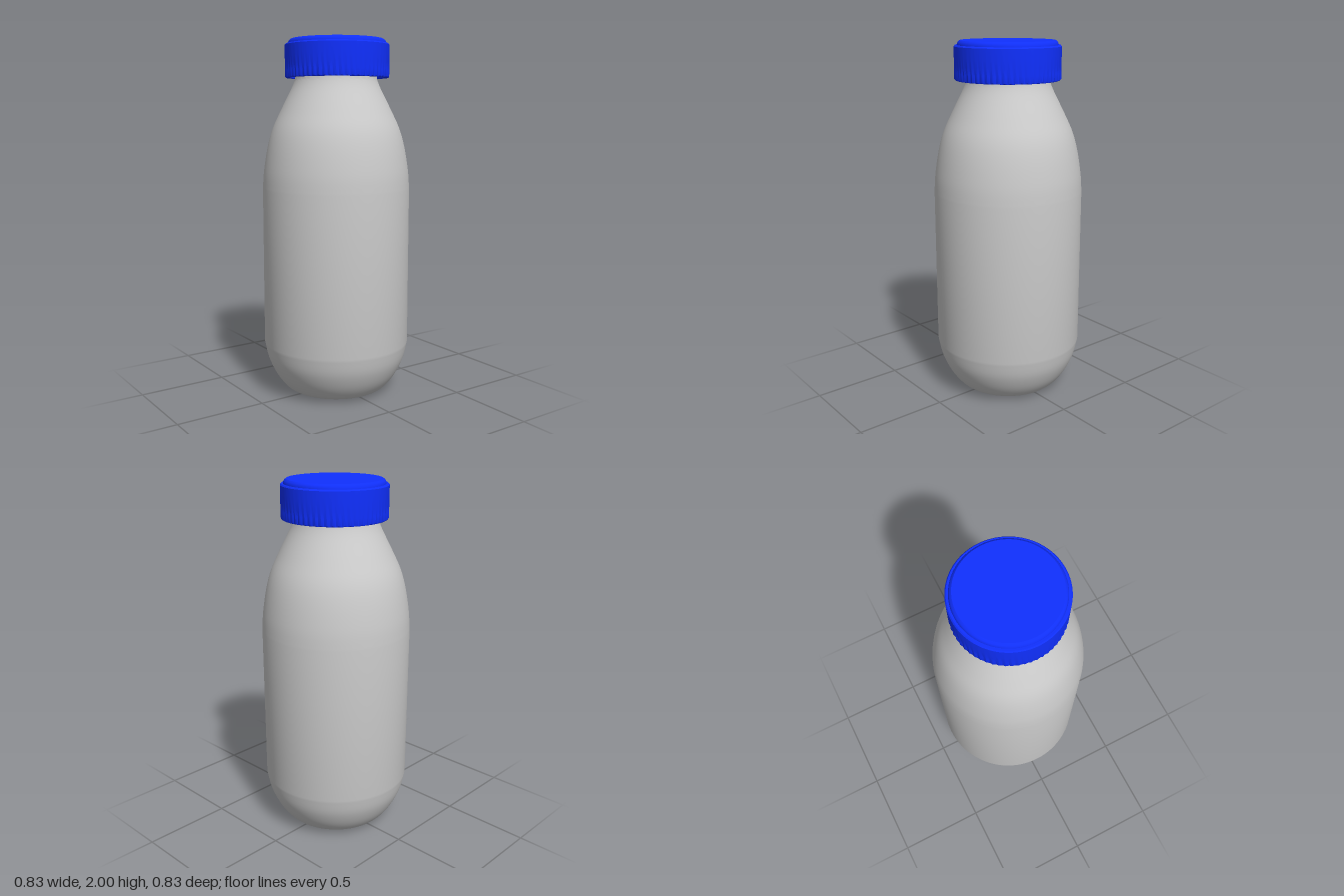
import * as THREE from 'three';
import { toCreasedNormals } from 'three/addons/utils/BufferGeometryUtils.js';

const toPoints = (list) => list.map(([r, y]) => new THREE.Vector2(r, y));

function lathe(name, points, segments, color, shape) {
  const geometry = new THREE.LatheGeometry(points, segments);
  if (shape) shape(geometry.attributes.position);
  const mesh = new THREE.Mesh(
    toCreasedNormals(geometry, 0.6),
    new THREE.MeshStandardMaterial({ color, side: THREE.DoubleSide })
  );
  mesh.name = name;
  return mesh;
}

export function createModel() {
  const model = new THREE.Group();
  model.name = 'bottle';

  // Bottle body: small dimple in the base, rounded heel, straight wall, tapered shoulder
  const heel = new THREE.SplineCurve(toPoints([
    [0.23, 0.005], [0.28, 0.022], [0.32, 0.06], [0.36, 0.12], [0.395, 0.2], [0.415, 0.29],
  ])).getPoints(20);
  const shoulder = new THREE.SplineCurve(toPoints([
    [0.415, 1.17], [0.408, 1.27], [0.387, 1.4], [0.358, 1.505], [0.31, 1.61], [0.25, 1.73], [0.23, 1.78],
  ])).getPoints(28);
  const base = toPoints([[0, 0.012], [0.015, 0.01], [0.027, 0], [0.18, 0]]);
  const neck = toPoints([[0.228, 1.82], [0.228, 1.94], [0.2, 1.94]]);
  model.add(lathe('body', [...base, ...heel, ...shoulder, ...neck], 96, 0xcccccc));

  // Screw cap: hollow shell with a raised, bevelled top disc
  const capProfile = toPoints([
    [0, 1.95], [0.262, 1.95], [0.262, 1.79],
    [0.286, 1.79], [0.291, 1.795], [0.291, 1.83], [0.291, 1.87], [0.291, 1.91], [0.291, 1.968],
    [0.285, 1.975], [0.274, 1.975], [0.273, 1.983], [0.268, 1.993], [0.258, 2], [0, 2],
  ]);
  // Grip grooves, deepest at the rim and fading out upwards
  const ribs = 60;
  const cap = lathe('cap', capProfile, ribs * 4, 0x1030ff, (pos) => {
    for (let i = 0; i < pos.count; i++) {
      const x = pos.getX(i), y = pos.getY(i), z = pos.getZ(i);
      const r = Math.hypot(x, z);
      if (r < 0.288 || y > 1.92) continue;
      const fade = Math.min(1, (1.91 - y) / 0.08);
      const depth = 0.0025 * fade * (1 - Math.cos(ribs * Math.atan2(x, z)));
      pos.setXYZ(i, x * (1 - depth / r), y, z * (1 - depth / r));
    }
  });
  cap.position.set(0.004, 0, 0.005);
  model.add(cap);

  return model;
}
